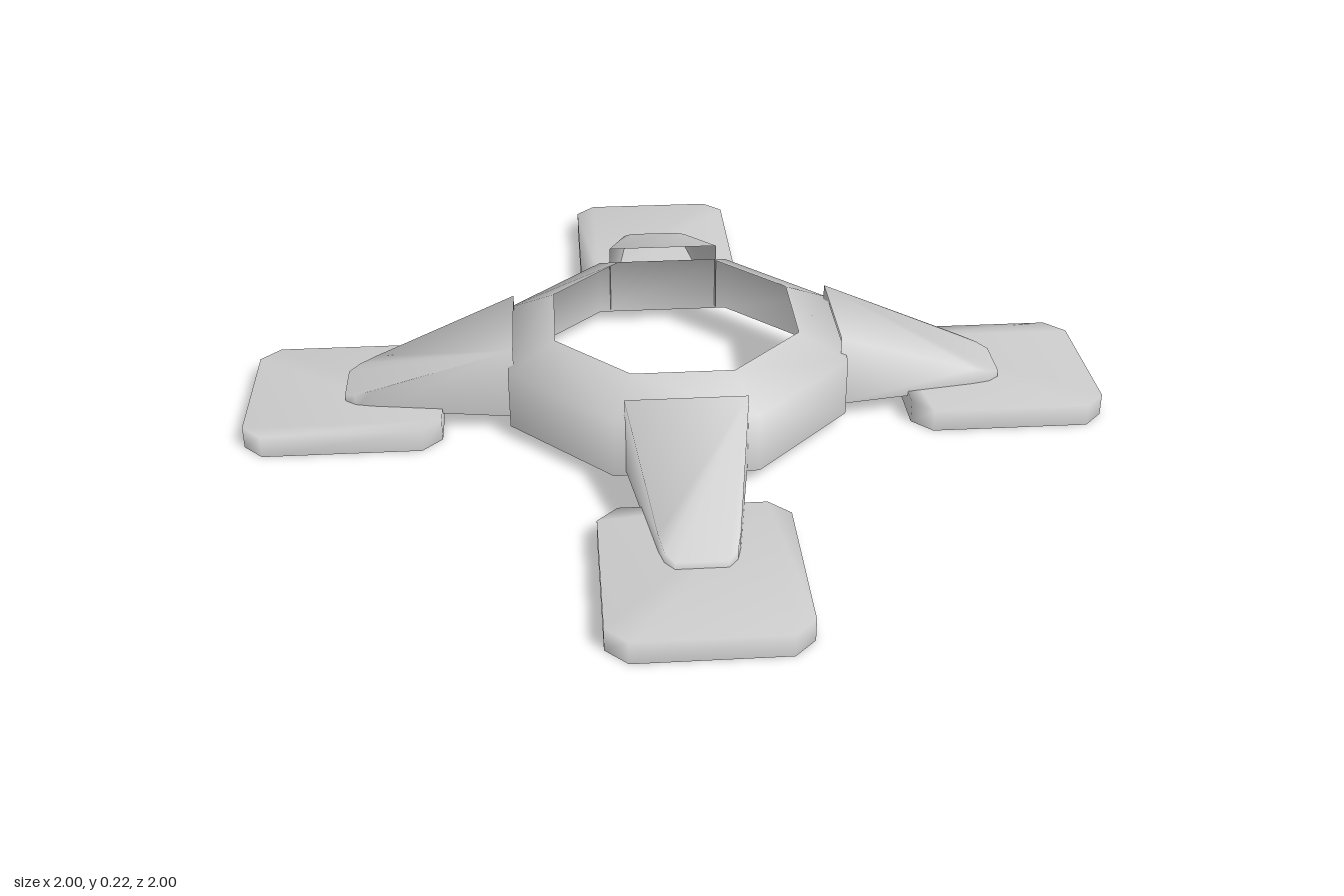
import * as THREE from 'three';

const material = new THREE.MeshStandardMaterial({ color: 0xcccccc, side: THREE.DoubleSide });

// Bottomless shell: a wall around an outline of [x, z] points, closed by a top.
function shell(outline, bottom, topAt, closed) {
  const n = outline.length;
  const positions = [];
  const index = [];
  for (const [x, z] of outline) positions.push(x, bottom, z, x, topAt(x), z);
  for (let i = 0; i < (closed ? n : n - 1); i++) {
    const j = (i + 1) % n;
    index.push(2 * i, 2 * i + 1, 2 * j, 2 * i + 1, 2 * j + 1, 2 * j);
  }
  for (let i = 1; i < n - 1; i++) index.push(1, 2 * i + 3, 2 * i + 1);
  const geometry = new THREE.BufferGeometry();
  geometry.setAttribute('position', new THREE.Float32BufferAttribute(positions, 3));
  geometry.setIndex(index);
  geometry.computeVertexNormals();
  return geometry;
}

function addMesh(parent, name, geometry) {
  const mesh = new THREE.Mesh(geometry, material);
  mesh.name = name;
  parent.add(mesh);
}

export function createModel() {
  const model = new THREE.Group();
  model.name = 'ringStand';

  // Octagonal ring: outer wall and sloping rim, open underneath
  const toCorner = 1 / Math.cos(Math.PI / 8);
  const profile = [[0.39, 0.03], [0.39, 0.17], [0.28, 0.225]]
    .map(([r, y]) => new THREE.Vector2(r * toCorner, y));
  addMesh(model, 'ring', new THREE.LatheGeometry(profile, 8, Math.PI / 8));

  // Tapering arm, open towards the ring and underneath
  const arm = shell(
    [[0.377, -0.136], [0.71, -0.085], [0.75, -0.075], [0.775, -0.055],
      [0.775, 0.055], [0.75, 0.075], [0.71, 0.085], [0.377, 0.136]],
    0.04, (x) => 0.215 - (x - 0.377) * 0.37, false);

  // Foot pad with clipped corners, hollow underneath
  const foot = shell(
    [[0.547, -0.16], [0.592, -0.206], [0.955, -0.206], [1, -0.16],
      [1, 0.16], [0.955, 0.206], [0.592, 0.206], [0.547, 0.16]],
    0, () => 0.052, true);

  // Four legs around the ring
  ['left', 'back', 'right', 'front'].forEach((side, i) => {
    const leg = new THREE.Group();
    leg.name = side + 'Leg';
    leg.rotation.y = i * Math.PI / 2;
    addMesh(leg, side + 'Arm', arm);
    addMesh(leg, side + 'Foot', foot);
    model.add(leg);
  });

  return model;
}
